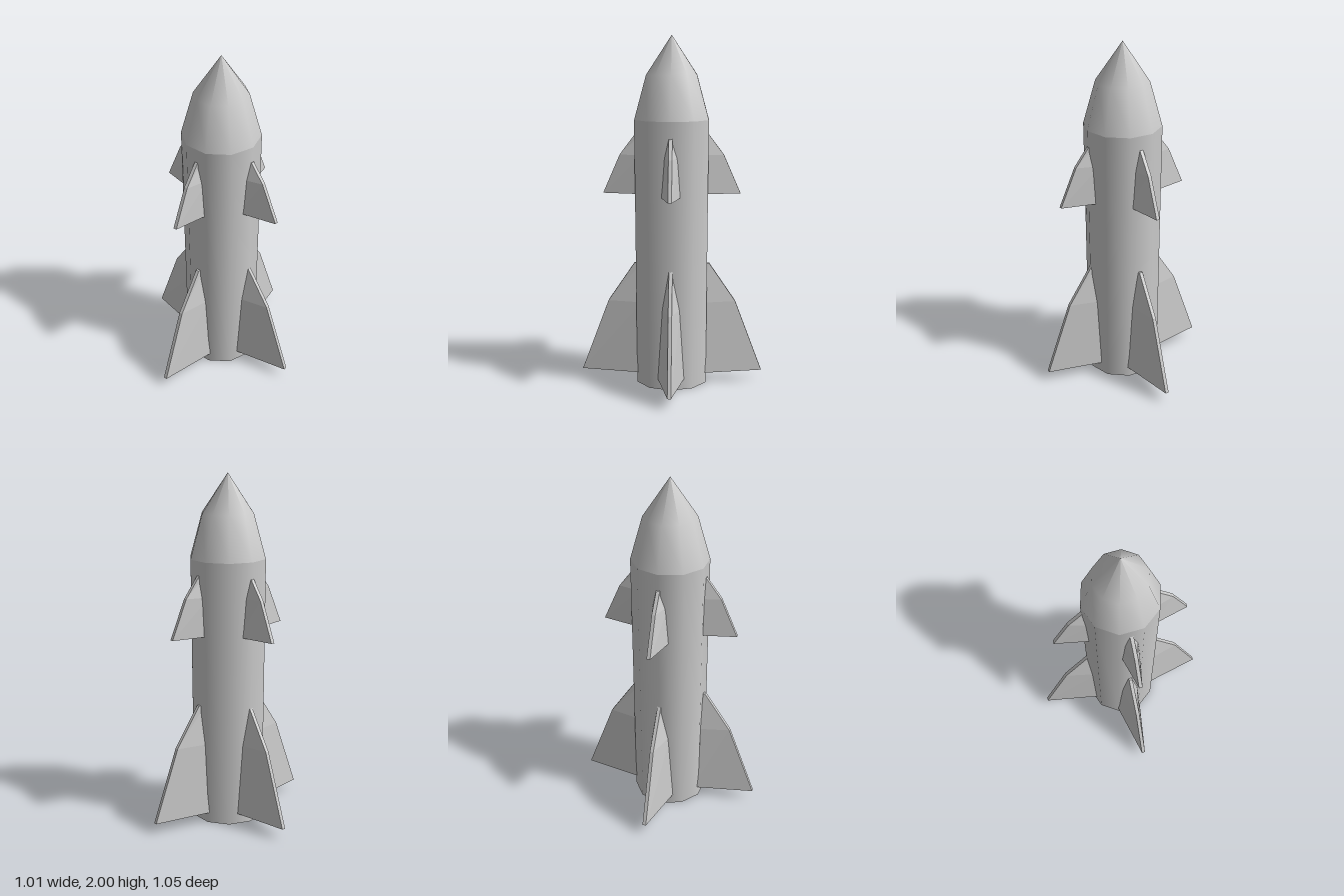
import * as THREE from 'three';

const SIDES = 10;
const smooth = new THREE.MeshStandardMaterial({ color: 0xcccccc });
const flat = new THREE.MeshStandardMaterial({ color: 0xcccccc, flatShading: true });

// Ten-sided turned part, with a corner on the x axis; the profile runs upwards on the outside
function turned(name, profile, material) {
  const points = profile.map(([r, y]) => new THREE.Vector2(r, y));
  const mesh = new THREE.Mesh(new THREE.LatheGeometry(points, SIDES, Math.PI / 2), material);
  mesh.name = name;
  return mesh;
}

// Tapered fin pointing along +x, lofted through sections [y, outer radius, root half-width]
function finGeometry(sections, stretch) {
  const root = 0.17, edge = 0.01;
  const positions = [], index = [];
  for (const [y, r, w] of sections) {
    const outer = r * stretch;
    positions.push(root, y, w, outer, y, edge, outer, y, -edge, root, y, -w);
  }
  for (let s = 0; s < sections.length - 1; s++) {
    for (let i = 0; i < 4; i++) {
      const a = s * 4 + i, b = s * 4 + (i + 1) % 4;
      index.push(a, b, b + 4, a, b + 4, a + 4);
    }
  }
  const t = (sections.length - 1) * 4;
  index.push(0, 2, 1, 0, 3, 2, t, t + 1, t + 2, t, t + 2, t + 3);
  const indexed = new THREE.BufferGeometry();
  indexed.setAttribute('position', new THREE.Float32BufferAttribute(positions, 3));
  indexed.setIndex(index);
  const geometry = indexed.toNonIndexed();
  geometry.computeVertexNormals();
  return geometry;
}

// Four fins around the hull; the front and back pair may reach further out
function finSet(name, sections, stretch) {
  const set = new THREE.Group();
  set.name = name + 's';
  for (let i = 0; i < 4; i++) {
    const fin = new THREE.Mesh(finGeometry(sections, i % 2 ? stretch : 1), flat);
    fin.name = name;
    fin.rotation.y = i * Math.PI / 2;
    set.add(fin);
  }
  return set;
}

export function createModel() {
  const rocket = new THREE.Group();
  rocket.name = 'rocket';

  // Hull and pointed nose
  rocket.add(turned('hull', [[0.21, 0], [0.22, 1.53]], smooth));
  rocket.add(turned('noseCone', [[0.22, 1.53], [0.15, 1.78], [0, 2]], smooth));

  // Recessed engine opening with its rim
  rocket.add(turned('engineRecess', [[0, 0.09], [0.185, 0.09], [0.185, 0], [0.21, 0]], flat));

  // Large tail fins and small upper fins
  rocket.add(finSet('tailFin', [[0.06, 0.505, 0.078], [0.475, 0.355, 0.054], [0.7, 0.208, 0.012]], 1.04));
  rocket.add(finSet('upperFin', [[1.11, 0.393, 0.059], [1.33, 0.297, 0.045], [1.45, 0.207, 0.012]], 1));

  return rocket;
}
